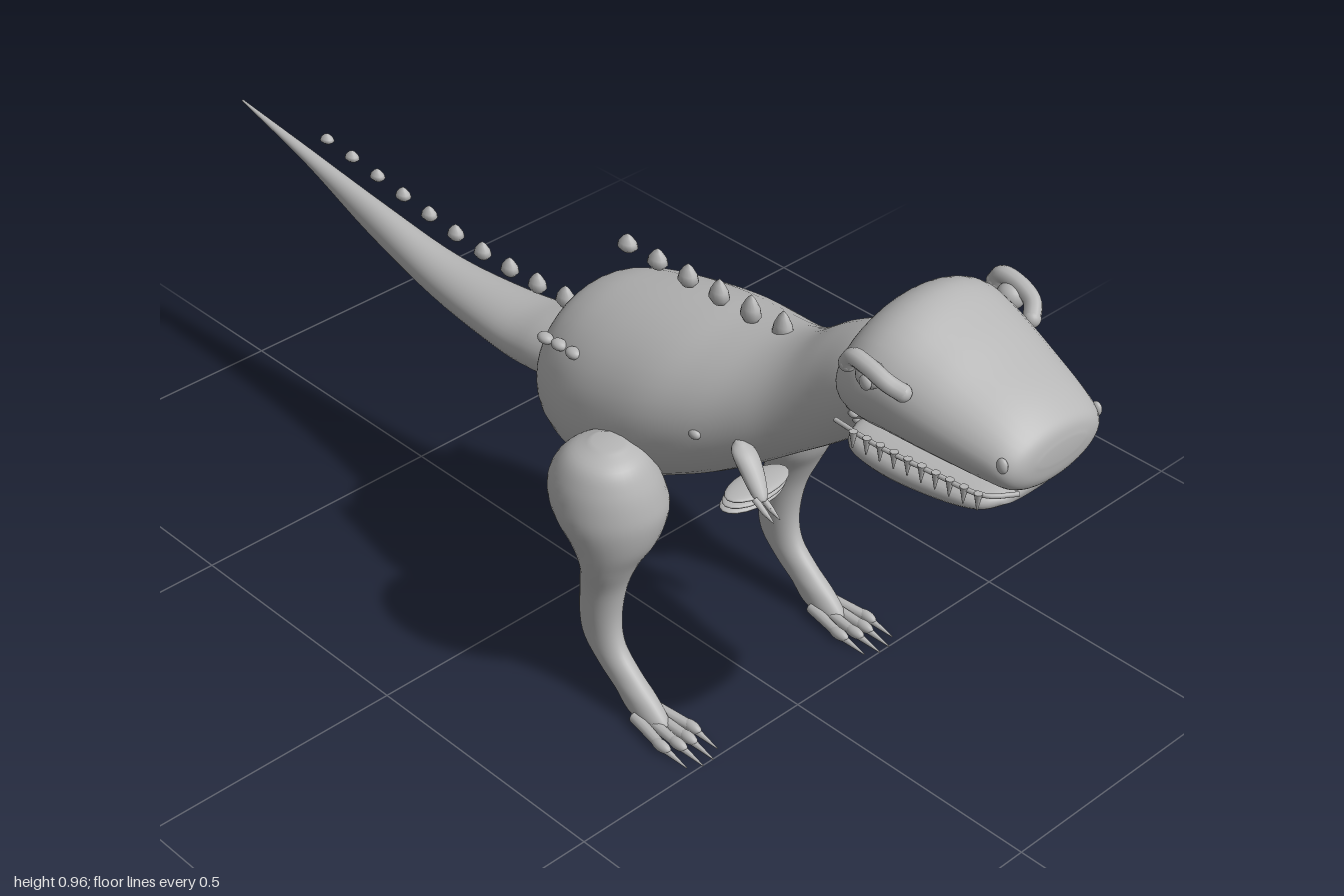
import * as THREE from 'three';

const hide = new THREE.MeshStandardMaterial({ color: 0xb6b6b6 });
hide.name = 'greyHide';

function add(parent, name, geometry) {
  const mesh = new THREE.Mesh(geometry, hide);
  mesh.name = name;
  parent.add(mesh);
  return mesh;
}

// Smooth skin through elliptical rings [x, y, z, radiusX, radiusOther],
// stacked in increasing order along the axis 'z' or 'y'. A power under 1 makes the rings boxier.
function loft(rows, axis, power = 1, sides = 36) {
  const steps = 5;
  const curve = (f) => new THREE.CatmullRomCurve3(rows.map(f), false, 'catmullrom', 0.5);
  const centre = curve((r) => new THREE.Vector3(r[0], r[1], r[2]));
  const radius = curve((r) => new THREE.Vector3(r[3], r[4], 0));
  const n = (rows.length - 1) * steps;
  const pos = [], idx = [];
  for (let i = 0; i <= n; i++) {
    const c = centre.getPoint(i / n), r = radius.getPoint(i / n);
    for (let j = 0; j < sides; j++) {
      const a = (j / sides) * Math.PI * 2, s = Math.sin(a);
      const u = r.x * Math.cos(a), v = r.y * Math.sign(s) * Math.abs(s) ** power;
      if (axis === 'z') pos.push(c.x + u, c.y + v, c.z);
      else pos.push(c.x + u, c.y, c.z - v);
    }
  }
  for (let i = 0; i < n; i++) {
    for (let j = 0; j < sides; j++) {
      const k = (j + 1) % sides;
      const a = i * sides + j, b = i * sides + k;
      idx.push(a, b, b + sides, a, b + sides, a + sides);
    }
  }
  // end caps
  const first = centre.getPoint(0), last = centre.getPoint(1);
  const c0 = pos.length / 3;
  pos.push(first.x, first.y, first.z, last.x, last.y, last.z);
  for (let j = 0; j < sides; j++) {
    const k = (j + 1) % sides;
    idx.push(c0, k, j, c0 + 1, n * sides + j, n * sides + k);
  }
  const g = new THREE.BufferGeometry();
  g.setAttribute('position', new THREE.Float32BufferAttribute(pos, 3));
  g.setIndex(idx);
  g.computeVertexNormals();
  return g;
}

// Rings along z given as [z, bottom, top, halfWidth]
const spine = (rows, power) =>
  loft(rows.map(([z, b, t, w]) => [0, (b + t) / 2, z, w, (t - b) / 2]), 'z', power);

function ellipsoid(parent, name, p, r) {
  const m = add(parent, name, new THREE.SphereGeometry(1, 20, 14));
  m.position.set(...p);
  m.scale.set(...r);
  return m;
}

// Tapered spike from a to b
function spike(parent, name, a, b, r0, r1 = 0.001) {
  const from = new THREE.Vector3(...a), dir = new THREE.Vector3(...b).sub(from);
  const m = add(parent, name, new THREE.CylinderGeometry(r1, r0, dir.length(), 10));
  m.position.copy(from).addScaledVector(dir, 0.5);
  m.quaternion.setFromUnitVectors(new THREE.Vector3(0, 1, 0), dir.normalize());
}

function tube(parent, name, points, r) {
  const path = new THREE.CatmullRomCurve3(points.map((p) => new THREE.Vector3(...p)));
  add(parent, name, new THREE.TubeGeometry(path, 24, r, 10));
}

// Teardrop plate on the back
const drop = new THREE.LatheGeometry(
  [[0, -0.5], [0.6, -0.42], [1, -0.2], [0.85, 0.05], [0.45, 0.32], [0, 0.5]]
    .map(([x, y]) => new THREE.Vector2(x, y)), 14);
function plate(parent, y, z, r, h) {
  const m = add(parent, 'backPlate', drop);
  m.position.set(0, y, z);
  m.scale.set(r, h, r * 1.3);
}

export function createModel() {
  const model = new THREE.Group();
  model.name = 'dinosaur';

  add(model, 'bodyAndNeck', spine([
    [-0.045, 0.45, 0.55, 0.055], [-0.035, 0.41, 0.588, 0.1], [0, 0.36, 0.64, 0.146],
    [0.05, 0.339, 0.668, 0.173], [0.12, 0.335, 0.687, 0.192], [0.2, 0.356, 0.703, 0.196],
    [0.28, 0.4, 0.715, 0.188], [0.36, 0.445, 0.725, 0.165], [0.44, 0.5, 0.742, 0.13],
    [0.5, 0.545, 0.77, 0.105], [0.56, 0.59, 0.815, 0.092], [0.62, 0.64, 0.848, 0.09],
    [0.66, 0.68, 0.855, 0.087], [0.7, 0.72, 0.855, 0.08]]));

  add(model, 'tail', spine([
    [-1, 0.578, 0.582, 0.002], [-0.8, 0.527, 0.553, 0.014], [-0.6, 0.455, 0.525, 0.028],
    [-0.4, 0.412, 0.497, 0.047], [-0.2, 0.404, 0.503, 0.073], [-0.1, 0.412, 0.525, 0.086],
    [-0.05, 0.42, 0.537, 0.086], [-0.02, 0.43, 0.54, 0.08]]));

  add(model, 'head', spine([
    [0.66, 0.78, 0.87, 0.09], [0.665, 0.752, 0.9, 0.13], [0.685, 0.735, 0.935, 0.151],
    [0.72, 0.73, 0.956, 0.16], [0.76, 0.73, 0.957, 0.157], [0.82, 0.731, 0.933, 0.148],
    [0.88, 0.732, 0.905, 0.136], [0.94, 0.733, 0.877, 0.122], [0.975, 0.737, 0.855, 0.11],
    [0.992, 0.755, 0.838, 0.088], [0.998, 0.785, 0.815, 0.05]]));

  add(model, 'lowerJaw', spine([
    [0.655, 0.69, 0.72, 0.07], [0.68, 0.672, 0.73, 0.112], [0.75, 0.66, 0.733, 0.12],
    [0.85, 0.667, 0.731, 0.111], [0.92, 0.683, 0.727, 0.096], [0.95, 0.7, 0.72, 0.06]], 0.8));

  // ruffle of small beads where the neck meets the head
  for (let i = 0; i < 28; i++) {
    const a = (i / 28) * Math.PI * 2;
    ellipsoid(model, 'neckBead', [0.088 * Math.cos(a), 0.768 + 0.086 * Math.sin(a), 0.657],
      [0.007, 0.007, 0.009]);
  }

  // plates along the back and tail
  for (let i = 0; i < 6; i++) plate(model, 0.747 - i * 0.001, 0.43 - i * 0.072, 0.0155, 0.06 - i * 0.005);
  [0.563, 0.558, 0.557, 0.558, 0.563, 0.571, 0.58, 0.589, 0.598, 0.605].forEach((y, i) =>
    plate(model, y, -0.085 - i * 0.0728, 0.0155 - i * 0.0004, 0.044 - i * 0.0026));

  // belly folds
  [[0.413, 0.385], [0.398, 0.38], [0.385, 0.375]].forEach(([y, z]) =>
    ellipsoid(model, 'bellyFold', [0, y, z], [0.07, 0.009, 0.034]));

  for (const s of [1, -1]) {
    const side = new THREE.Group();
    side.name = s > 0 ? 'leftSide' : 'rightSide';
    model.add(side);

    // eye under a curled brow, nostril
    ellipsoid(side, 'eye', [s * 0.158, 0.888, 0.755], [0.022, 0.022, 0.024]);
    ellipsoid(side, 'pupil', [s * 0.177, 0.886, 0.762], [0.007, 0.013, 0.011]);
    const brow = [[0.146, 0.876, 0.808], [0.163, 0.893, 0.793], [0.168, 0.908, 0.758],
      [0.167, 0.91, 0.727], [0.166, 0.894, 0.716]].map(([x, y, z]) => [s * x, y, z]);
    tube(side, 'brow', brow, 0.0145);
    for (const end of [brow[0], brow[4]]) ellipsoid(side, 'browEnd', end, [0.0145, 0.0145, 0.0145]);
    ellipsoid(side, 'nostril', [s * 0.107, 0.811, 0.972], [0.007, 0.013, 0.01]);

    // lip and teeth
    tube(side, 'lip', [[s * 0.118, 0.737, 0.655], [s * 0.122, 0.737, 0.74],
      [s * 0.113, 0.737, 0.85], [s * 0.1, 0.737, 0.94], [s * 0.06, 0.737, 0.972]], 0.004);
    for (let i = 0; i < 10; i++) {
      const z = 0.7 + i * 0.026, x = s * (0.126 - i * 0.002);
      spike(side, 'tooth', [x, 0.742, z], [x, 0.711, z], 0.007);
    }

    // skin bumps
    [[0.156, 0.608, 0.105], [0.15, 0.602, 0.063], [0.142, 0.591, 0.02]].forEach((p) =>
      ellipsoid(side, 'hipBump', [s * p[0], p[1], p[2]], [0.012, 0.01, 0.016]));
    ellipsoid(side, 'shoulderBump', [s * 0.152, 0.588, 0.387], [0.008, 0.009, 0.012]);

    // small arm with two claws
    add(side, 'arm', loft([
      [0.138, 0.521, 0.523, 0.005, 0.005], [0.135, 0.529, 0.518, 0.012, 0.015],
      [0.126, 0.555, 0.492, 0.019, 0.021], [0.12, 0.58, 0.467, 0.02, 0.021],
      [0.118, 0.594, 0.455, 0.006, 0.007]].map((r) => [s * r[0], ...r.slice(1)]), 'y', 1, 20));
    for (const x of [0.133, 0.147]) {
      spike(side, 'finger', [s * x, 0.527, 0.52], [s * x, 0.513, 0.543], 0.006, 0.005);
      spike(side, 'fingerClaw', [s * x, 0.513, 0.543], [s * x, 0.503, 0.563], 0.005);
    }

    // leg, from sole to hip
    add(side, 'leg', loft([
      [0.217, 0.006, 0.365, 0.014, 0.035], [0.217, 0.022, 0.352, 0.023, 0.05],
      [0.217, 0.05, 0.325, 0.024, 0.05], [0.217, 0.08, 0.285, 0.024, 0.05],
      [0.217, 0.12, 0.247, 0.026, 0.046], [0.217, 0.17, 0.237, 0.031, 0.042],
      [0.218, 0.24, 0.245, 0.04, 0.042], [0.22, 0.3, 0.263, 0.056, 0.047],
      [0.211, 0.35, 0.265, 0.08, 0.07], [0.208, 0.4, 0.253, 0.099, 0.094],
      [0.212, 0.44, 0.245, 0.097, 0.1], [0.216, 0.48, 0.245, 0.085, 0.09],
      [0.218, 0.515, 0.25, 0.063, 0.066], [0.215, 0.535, 0.252, 0.026, 0.028]]
      .map((r) => [s * r[0], ...r.slice(1)]), 'y'));

    // slender toes with long claws
    [[0.182, 0.425], [0.206, 0.44], [0.23, 0.44], [0.254, 0.425]].forEach(([x, z]) => {
      const root = 0.217 + (x - 0.217) * 0.6;
      spike(side, 'toe', [s * root, 0.02, 0.345], [s * x, 0.015, z], 0.011, 0.009);
      ellipsoid(side, 'toeTip', [s * x, 0.015, z], [0.01, 0.011, 0.022]);
      spike(side, 'toeClaw', [s * x, 0.014, z], [s * x, 0.005, z + 0.062], 0.008);
    });
  }
  return model;
}
